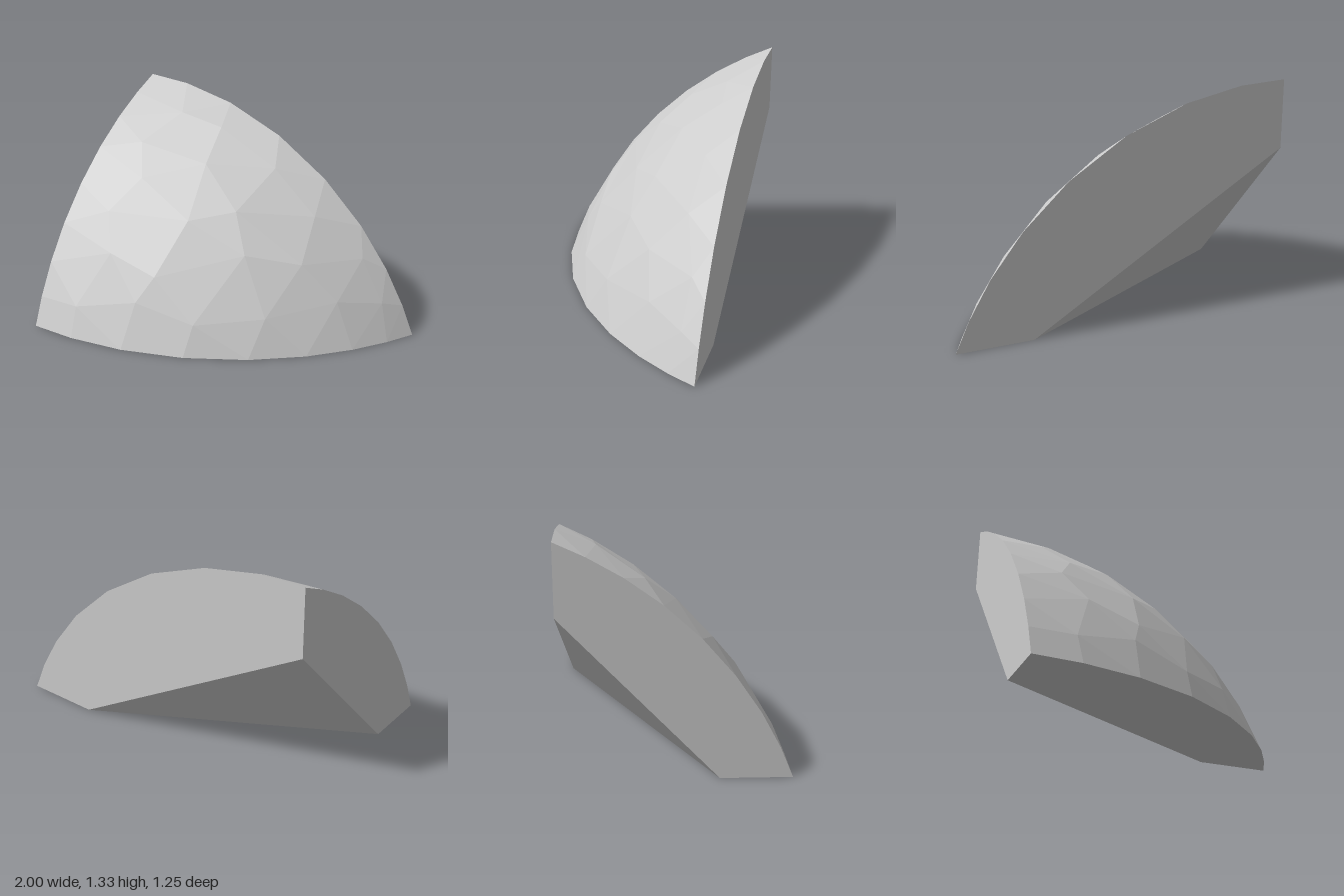
import * as THREE from 'three';

const V = (x, y, z) => new THREE.Vector3(x, y, z);

// The solid is a fragment of a sphere, bounded by three square planes and one slanted break.
const CENTRE = V(-0.95, -0.764, -1.517);
const RADIUS = 2.274;
const CORNER = V(-1, 0, -0.63);
const INSIDE = V(-0.3, 0.5, -0.2);
const SEGMENTS = 8;

// Ends of the slanted break on the three edges of the square corner
const BREAK_TOP = V(-1, 0.925, -0.63);
const BREAK_SIDE = V(0.546, 0, -0.63);
const BREAK_FRONT = V(-1, 0, 0.229);

let seed = 7;
function random() {
  seed = (seed * 16807) % 2147483647;
  return seed / 2147483647 - 0.5;
}

// Follow a ray from the square corner until it meets the sphere
function onSphere(direction) {
  const d = direction.clone().normalize();
  const m = CORNER.clone().sub(CENTRE);
  const b = m.dot(d);
  const t = -b + Math.sqrt(b * b - m.lengthSq() + RADIUS * RADIUS);
  return CORNER.clone().addScaledVector(d, t);
}

// Flat-shaded mesh from triangles, each turned to face outward
function facetMesh(name, triangles, material) {
  const points = [];
  for (const [a, b, c] of triangles) {
    const normal = b.clone().sub(a).cross(c.clone().sub(a));
    const outward = normal.dot(a.clone().sub(INSIDE)) > 0;
    points.push(...(outward ? [a, b, c] : [a, c, b]));
  }
  const geometry = new THREE.BufferGeometry().setFromPoints(points);
  geometry.computeVertexNormals();
  const mesh = new THREE.Mesh(geometry, material);
  mesh.name = name;
  return mesh;
}

function fan(polygon) {
  const triangles = [];
  for (let i = 1; i < polygon.length - 1; i++) triangles.push([polygon[0], polygon[i], polygon[i + 1]]);
  return triangles;
}

export function createModel() {
  const group = new THREE.Group();
  group.name = 'sphereFragment';
  const stone = new THREE.MeshStandardMaterial({ color: 0xcccccc, flatShading: true });
  stone.name = 'light grey';

  // Triangular grid on the sphere: row 0 is the peak, the last row lies on the ground
  const rows = [];
  for (let i = 0; i <= SEGMENTS; i++) {
    rows.push([]);
    for (let j = 0; j <= i; j++) {
      const inner = j > 0 && j < i && i < SEGMENTS;
      const du = inner ? random() * 0.6 : 0;
      const dv = inner ? random() * 0.6 : 0;
      const up = SEGMENTS - i + du;
      const side = j + dv;
      const front = i - j - du - dv;
      rows[i].push(onSphere(V(2 * side, 1.33 * up, 1.254 * front)));
    }
  }

  // Faceted outer surface
  const shell = [];
  for (let i = 0; i < SEGMENTS; i++) {
    for (let j = 0; j <= i; j++) {
      shell.push([rows[i][j], rows[i + 1][j], rows[i + 1][j + 1]]);
      if (j < i) shell.push([rows[i][j], rows[i + 1][j + 1], rows[i][j + 1]]);
    }
  }
  group.add(facetMesh('outerSurface', shell, stone));

  // Flat faces between the outer arcs and the break
  const backArc = rows.map((row) => row[row.length - 1]);
  const sideArc = rows.map((row) => row[0]);
  const groundArc = rows[SEGMENTS];
  group.add(facetMesh('backFace', fan([BREAK_SIDE, BREAK_TOP, ...backArc]), stone));
  group.add(facetMesh('sideFace', fan([BREAK_FRONT, BREAK_TOP, ...sideArc]), stone));
  group.add(facetMesh('bottomFace', fan([BREAK_SIDE, BREAK_FRONT, ...groundArc]), stone));

  // Slanted break across the square corner
  group.add(facetMesh('slantedBreak', [[BREAK_TOP, BREAK_SIDE, BREAK_FRONT]], stone));
  return group;
}
